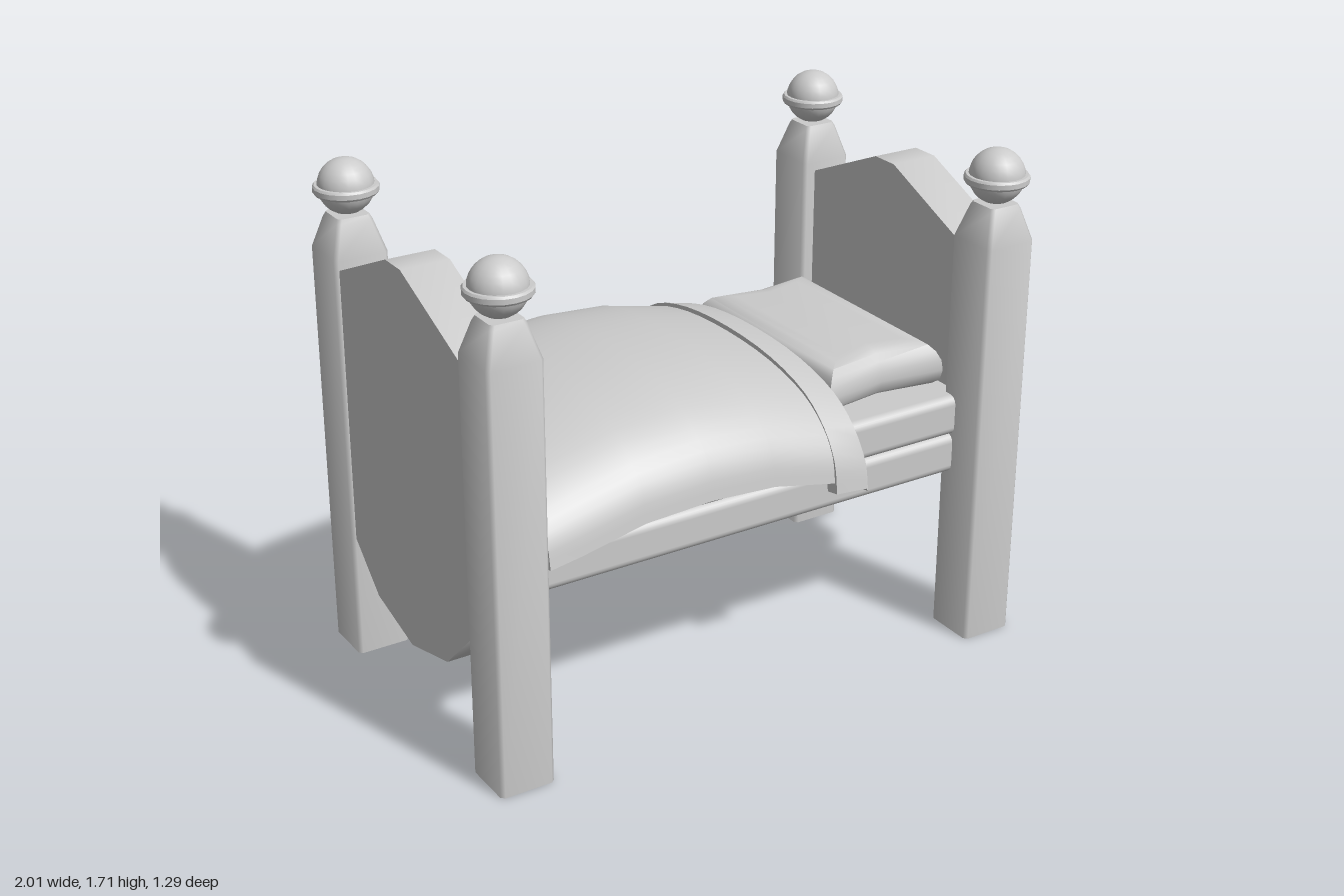
import * as THREE from 'three';
import { toCreasedNormals } from 'three/addons/utils/BufferGeometryUtils.js';
import { RoundedBoxGeometry } from 'three/addons/geometries/RoundedBoxGeometry.js';

const grey = new THREE.MeshStandardMaterial({ color: 0xcccccc, side: THREE.DoubleSide });

function add(parent, name, geometry, x = 0, y = 0, z = 0) {
  const mesh = new THREE.Mesh(geometry, grey);
  mesh.name = name;
  mesh.position.set(x, y, z);
  parent.add(mesh);
  return mesh;
}

// Skin closed rings of [x, y, z] points; caps pair point j with point n-1-j.
function loft(rings, crease, capStart = true, capEnd = true) {
  const n = rings[0].length, index = [];
  const quad = (a, b, c, d) => index.push(a, b, c, a, c, d);
  for (let i = 0; i < rings.length - 1; i++) {
    for (let j = 0; j < n; j++) {
      const k = (j + 1) % n;
      quad(i * n + j, i * n + k, (i + 1) * n + k, (i + 1) * n + j);
    }
  }
  const last = (rings.length - 1) * n;
  for (let j = 0; j < n / 2 - 1; j++) {
    if (capStart) quad(n - 1 - j, n - 2 - j, j + 1, j);
    if (capEnd) quad(last + j, last + j + 1, last + n - 2 - j, last + n - 1 - j);
  }
  const g = new THREE.BufferGeometry();
  g.setAttribute('position', new THREE.Float32BufferAttribute(rings.flat(2), 3));
  g.setIndex(index);
  return toCreasedNormals(g, crease);
}

// Square ring with cut corners at height y, ordered from z towards x.
function postRing(y, h, c) {
  const k = h - c;
  return [[-k, h], [k, h], [h, k], [h, -k], [k, -h], [-k, -h], [-h, -k], [-h, k]]
    .map(([x, z]) => [x, y, z]);
}

// Post with a tapered head and a banded ball, open underneath
function createPost() {
  const post = new THREE.Group();
  post.name = 'post';
  add(post, 'postShaft', loft([
    postRing(0, 0.093, 0.012), postRing(1.41, 0.093, 0.012),
    postRing(1.515, 0.062, 0.012), postRing(1.53, 0.055, 0.012),
  ], 0.9, false, true));
  add(post, 'postBall', new THREE.SphereGeometry(0.091, 20, 14), 0, 1.619, 0);
  const band = [[0.08, -0.015], [0.1, -0.015], [0.105, -0.008], [0.105, 0.008], [0.1, 0.015], [0.08, 0.015]]
    .map(([r, y]) => new THREE.Vector2(r, y));
  add(post, 'postBand', toCreasedNormals(new THREE.LatheGeometry(band, 20), 0.6), 0, 1.612, 0);
  return post;
}

// End board: outline in z and y, thickness along x from xMin to xMax
function boardGeometry(lower, xMin, xMax) {
  const outline = [[0.07, 1.53], [-0.03, 1.53], [-0.465, 1.34], ...lower, [0.505, 1.34]];
  const shape = new THREE.Shape(outline.map(([z, y]) => new THREE.Vector2(z, y)));
  const g = new THREE.ExtrudeGeometry(shape, { depth: xMax - xMin, bevelEnabled: false });
  g.rotateY(-Math.PI / 2).translate(xMax, 0, 0);
  return toCreasedNormals(g, 0.6);
}

// Drape: half section (fraction of width, fraction of drop)
const drape = new THREE.CatmullRomCurve3(
  [[-1, 0], [-0.97, 0.3], [-0.875, 0.57], [-0.7, 0.8], [-0.4, 0.95], [0, 1],
    [0.4, 0.95], [0.7, 0.8], [0.875, 0.57], [0.97, 0.3], [1, 0]]
    .map(([t, f]) => new THREE.Vector3(t, f, 0))).getPoints(30);

// Stations are [x, top, hem]; the cloth is a closed shell of the given thickness
function clothGeometry(stations, halfWidth, zMid, thick) {
  const rings = stations.map(([x, top, hem]) => {
    const arc = (w, peak, low) => drape.map((p) => [x, low + (peak - low) * p.y, zMid + w * p.x]);
    return [...arc(halfWidth, top, hem),
      ...arc(halfWidth - thick, top - thick, hem - thick * 0.2).reverse()];
  });
  return loft(rings, 0.8);
}

// Pillow: rectangle pinched at the middle of its short sides, rounded upwards
function pillowGeometry() {
  const levels = [[0.855, 0.03], [0.875, 0.006], [0.91, 0], [0.945, 0.004],
    [0.975, 0.018], [0.997, 0.038], [1.008, 0.065], [1.011, 0.1]];
  const plan = [[0.4, -0.23], [0.37, 0], [0.4, 0.23], [-0.4, 0.23], [-0.372, 0], [-0.4, -0.23]];
  return loft(levels.map(([y, inset]) => plan.map(([z, x]) => [
    0.585 + x - Math.sign(x) * inset, y, z - Math.sign(z) * inset,
  ])), 1.0);
}

export function createModel() {
  const bed = new THREE.Group();
  bed.name = 'bed';

  // Four corner posts
  for (const x of [-0.905, 0.879]) {
    for (const z of [-0.468, 0.538]) {
      const post = createPost();
      post.position.set(x, 0, z);
      bed.add(post);
    }
  }

  // Head and foot boards
  add(bed, 'headboard', boardGeometry([
    [-0.465, 1.0], [-0.425, 0.83], [-0.34, 0.69], [-0.2, 0.6], [-0.03, 0.565],
    [0.07, 0.565], [0.24, 0.6], [0.38, 0.69], [0.47, 0.83], [0.505, 1.0],
  ], 0.83, 1.0));
  add(bed, 'footboard', boardGeometry([
    [-0.465, 0.85], [-0.44, 0.56], [-0.38, 0.44], [-0.22, 0.295], [0.02, 0.23],
    [0.27, 0.295], [0.43, 0.45], [0.48, 0.56], [0.505, 0.85],
  ], -0.985, -0.82));

  // Frame and mattress
  add(bed, 'frame', new RoundedBoxGeometry(1.68, 0.14, 1.0, 3, 0.03), 0.0, 0.65, 0.005);
  add(bed, 'mattress', new RoundedBoxGeometry(1.66, 0.14, 1.01, 3, 0.03), 0.01, 0.79, 0.005);
  add(bed, 'pillow', pillowGeometry());

  // Blanket with its folded edge
  add(bed, 'blanket', clothGeometry([
    [-0.8, 0.99, 0.72], [-0.69, 1.03, 0.738], [-0.47, 1.08, 0.785], [-0.23, 1.1, 0.797],
    [0, 1.085, 0.783], [0.27, 1.025, 0.725],
  ], 0.62, -0.01, 0.025));
  add(bed, 'blanketFold', clothGeometry([
    [0.23, 1.05, 0.7], [0.345, 1.02, 0.69], [0.352, 1.0, 0.68],
  ], 0.635, -0.012, 0.05));

  return bed;
}
